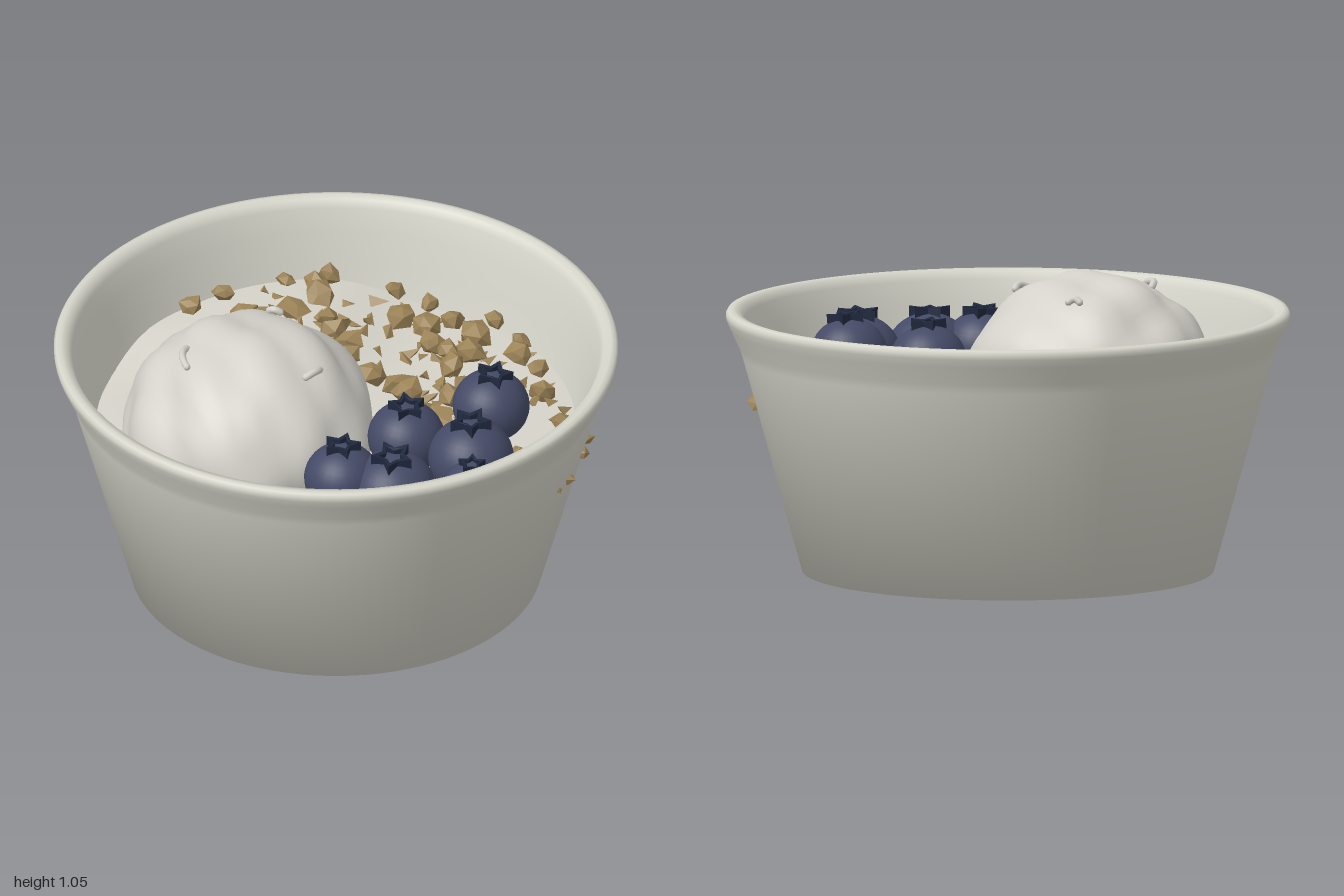
import * as THREE from 'three';
import { mergeVertices } from 'three/addons/utils/BufferGeometryUtils.js';

const mat = (name, color, side = THREE.FrontSide) => {
  const m = new THREE.MeshStandardMaterial({ color, side });
  m.name = name;
  return m;
};

// Small seeded generator
let seed = 11;
const rand = (a = 0, b = 1) => {
  seed = (seed * 16807) % 2147483647;
  return a + (b - a) * (seed / 2147483647);
};

// Strip to bare positions so that corners are shared
const weld = (g) => {
  g.deleteAttribute('uv');
  g.deleteAttribute('normal');
  return mergeVertices(g);
};

// Folded, dented surface noise
const lumps = (x, y, z) =>
  0.6 * Math.abs(Math.sin(3.3 * x + 2.1 * y + 0.6)) + 0.5 * Math.abs(Math.sin(3.9 * z - 2.7 * x + 1.1)) +
  0.3 * Math.sin(5 * y + 4.2 * z) * Math.cos(4.3 * x) - 0.6;

// Height of the filling: highest behind the scoop, sinking towards the front
const level = (x, z) =>
  0.6 - 0.03 * Math.hypot(x, z) ** 4 - 0.35 * Math.max(0, z - 0.3) ** 2 +
  0.06 * THREE.MathUtils.smoothstep(-x, -0.1, 0.3) * THREE.MathUtils.smoothstep(-z, 0, 0.4);

// Irregular flat-faced nugget
function nugget(radius, base) {
  const g = base.clone();
  const p = g.attributes.position;
  for (let i = 0; i < p.count; i++) {
    const k = radius * rand(0.65, 1.3);
    p.setXYZ(i, p.getX(i) * k, p.getY(i) * k * 0.8, p.getZ(i) * k);
  }
  const flat = g.toNonIndexed();
  flat.computeVertexNormals();
  return flat;
}

// Ring in the outline of a star, for the berry crown
function starRing(r) {
  const outline = (path, s) => {
    for (let i = 0; i < 10; i++) {
      const a = (i * Math.PI) / 5 + Math.PI / 2, k = s * (i % 2 ? 0.55 : 1);
      path[i ? 'lineTo' : 'moveTo'](k * Math.cos(a), k * Math.sin(a));
    }
    path.closePath();
    return path;
  };
  const shape = outline(new THREE.Shape(), r);
  shape.holes.push(outline(new THREE.Path(), r * 0.64));
  const g = new THREE.ExtrudeGeometry(shape, { depth: r * 0.5, bevelEnabled: false });
  g.rotateX(-Math.PI / 2);
  // Lift the tips so that the crown flares
  const p = g.attributes.position;
  for (let i = 0; i < p.count; i++) {
    const d = Math.hypot(p.getX(i), p.getZ(i)) / r;
    if (p.getY(i) > 0.001) p.setY(i, p.getY(i) + 0.2 * r * (d - 0.5));
  }
  g.computeVertexNormals();
  return g;
}

export function createModel() {
  const model = new THREE.Group();
  const ceramic = mat('ceramic', 0xd6d5ca, THREE.DoubleSide);
  const cream = mat('cream', 0xd5d3c9);
  const scoopMat = mat('ice cream', 0xd3d1c9);
  const granolaMat = mat('granola', 0x9c8357);
  const berryMat = mat('berry skin', 0x444a66);
  const crownMat = mat('berry crown', 0x1f283d);

  const add = (name, geometry, material, parent = model) => {
    const m = new THREE.Mesh(geometry, material);
    m.name = name;
    parent.add(m);
    return m;
  };

  // Bowl: base, outside, rolled rim and inside in one smooth profile
  const profile = [[0, 0], [0.73, 0], [0.942, 0.77], [0.955, 0.805], [0.985, 0.87], [0.998, 0.9], [1, 0.918],
    [0.992, 0.931], [0.975, 0.935], [0.95, 0.928], [0.935, 0.9], [0.91, 0.82], [0.88, 0.7], [0.85, 0.58],
    [0.7, 0.06], [0, 0.06]];
  add('bowl', new THREE.LatheGeometry(profile.map(([x, y]) => new THREE.Vector2(x, y)), 96), ceramic);

  // Uneven cream filling, its edge kept within the wall
  const fill = new THREE.LatheGeometry(
    [0.87, 0.82, 0.75, 0.65, 0.55, 0.45, 0.3, 0.15, 0].map((r) => new THREE.Vector2(r, 0)), 64);
  const fp = fill.attributes.position;
  for (let i = 0; i < fp.count; i++) {
    const x = fp.getX(i), z = fp.getZ(i), y = level(x, z) + 0.008 * Math.sin(6 * x + 1) * Math.cos(5 * z);
    const k = Math.min(1, (0.695 + 0.288 * y) / Math.max(0.01, Math.hypot(x, z)));
    fp.setXYZ(i, x * k, y, z * k);
  }
  fill.computeVertexNormals();
  add('filling', fill, cream);

  // Lumpy scoop with a ragged skirt
  const scoop = weld(new THREE.IcosahedronGeometry(1, 11));
  const sp = scoop.attributes.position;
  for (let i = 0; i < sp.count; i++) {
    const x = sp.getX(i), y = sp.getY(i), z = sp.getZ(i), a = Math.atan2(z, x);
    const skirt = 0.025 * Math.sin(5 * a + 1) * Math.exp(-12 * (y + 0.05) ** 2);
    const k = 1 + 0.07 * lumps(x * 1.4, y * 1.4, z * 1.4) + skirt;
    sp.setXYZ(i, x * k * 0.44, y * k * 0.385, z * k * 0.44);
  }
  scoop.computeVertexNormals();
  add('scoop', scoop, scoopMat).position.set(-0.262, 0.65, 0.195);

  // Curled shavings on the scoop: x, y, z, length, turn
  const curls = [[-0.25, 0.975, -0.07, 0.04, 0], [0, 0.97, 0.27, 0.07, 1.1], [-0.45, 0.985, 0.33, 0.12, -1.25],
    [-0.22, 0.86, 0.52, 0.05, 0.2]];
  for (const [x, y, z, len, turn] of curls) {
    const curve = new THREE.QuadraticBezierCurve3(new THREE.Vector3(-len / 2, 0, 0),
      new THREE.Vector3(0, 0.02, len * 0.25), new THREE.Vector3(len / 2, 0, 0));
    const curl = add('shaving', new THREE.TubeGeometry(curve, 8, 0.013, 8), scoopMat);
    curl.position.set(x, y, z);
    curl.rotation.y = turn;
    for (const t of [0, 1]) {
      add('shavingEnd', new THREE.SphereGeometry(0.013, 8, 6), scoopMat, curl).position.copy(curve.getPoint(t));
    }
  }

  // Berries with star crowns: x, y, z, radius
  const berries = [[0.567, 0.765, -0.03, 0.137], [0.32, 0.715, 0.185, 0.137], [0.582, 0.72, 0.25, 0.152],
    [0.645, 0.72, 0.43, 0.1], [0.372, 0.695, 0.5, 0.153], [0.187, 0.72, 0.515, 0.135]];
  berries.forEach(([x, y, z, r], i) => {
    const berry = new THREE.Group();
    berry.name = 'berry';
    add('berrySkin', new THREE.SphereGeometry(r, 28, 20).scale(1, 0.93, 1), berryMat, berry);
    add('berryCrown', starRing(r * 0.5), crownMat, berry).position.y = r * 0.78;
    berry.position.set(x, y, z);
    berry.rotation.set(0.06 * Math.sin(i * 2), i * 0.5, -0.08 * Math.cos(i));
    model.add(berry);
  });

  // Granola clusters, placed by x, z
  const ico = weld(new THREE.IcosahedronGeometry(1, 0));
  const shard = weld(new THREE.TetrahedronGeometry(1, 0).scale(1.5, 0.8, 0.8));
  const granola = new THREE.Group();
  granola.name = 'granola';
  model.add(granola);
  const piece = (x, y, z, r, base) => {
    const m = add('granolaPiece', nugget(r, base), granolaMat, granola);
    m.position.set(x, y, z);
    m.rotation.set(rand(-0.5, 0.5), rand(0, 6.28), rand(-0.5, 0.5));
  };
  const spots = [0.08, -0.83, -0.42, -0.73, -0.28, -0.67, 0.02, -0.69, 0.2, -0.74, 0.35, -0.77, 0.31, -0.68,
    0.47, -0.69, -0.6, -0.57, -0.33, -0.54, -0.15, -0.48, -0.48, -0.41, -0.38, -0.37, -0.07, -0.35, -0.09, -0.45,
    0.18, -0.56, 0.33, -0.55, 0.5, -0.57, 0.58, -0.53, 0.3, -0.44, 0.42, -0.37, 0.05, -0.29, 0.2, -0.21,
    0.5, -0.23, 0.65, -0.38, 0.29, -0.11, 0.35, -0.08, 0.78, -0.19, 0.82, -0.07, 0.81, 0.07, -0.69, -0.46,
    -0.28, -0.8, -0.05, -0.83, 0.35, -0.24, -0.27, -0.35, 0.57, -0.21, 0.15, -0.26, -0.3, -0.71, -0.41, -0.43,
    0.7, 0.065, 0.38, -0.33, 0.25, -0.53, -0.2, -0.52, 0.12, -0.68];
  for (let i = 0; i < spots.length; i += 2) {
    const x = spots[i], z = spots[i + 1], edge = Math.hypot(x, z) > 0.78;
    piece(x, level(x, z) + rand(0.02, 0.045), z, edge ? rand(0.035, 0.045) : rand(0.045, 0.06), ico);
  }

  // Loose shards in the crescent behind the scoop and berries
  for (let n = 0; n < 85;) {
    const a = rand(-0.1, 2.55), r = 0.83 * Math.sqrt(rand(0.17, 1)), x = r * Math.cos(a), z = -r * Math.sin(a);
    if (Math.hypot(x + 0.26, z - 0.19) < 0.5 || Math.hypot(x - 0.57, z + 0.03) < 0.16) continue;
    piece(x, level(x, z) + 0.014, z, rand(0.02, 0.036), shard);
    n++;
  }
  // Crumbs showing through the side of the wall
  for (const [y, z, r] of [[0.57, 0.06, 0.03], [0.605, -0.07, 0.03], [0.595, -0.17, 0.035], [0.58, 0.15, 0.016]]) {
    piece(Math.sqrt((0.73 + 0.275 * y) ** 2 - z * z) - 0.006, y, z, r, ico);
  }
  return model;
}
